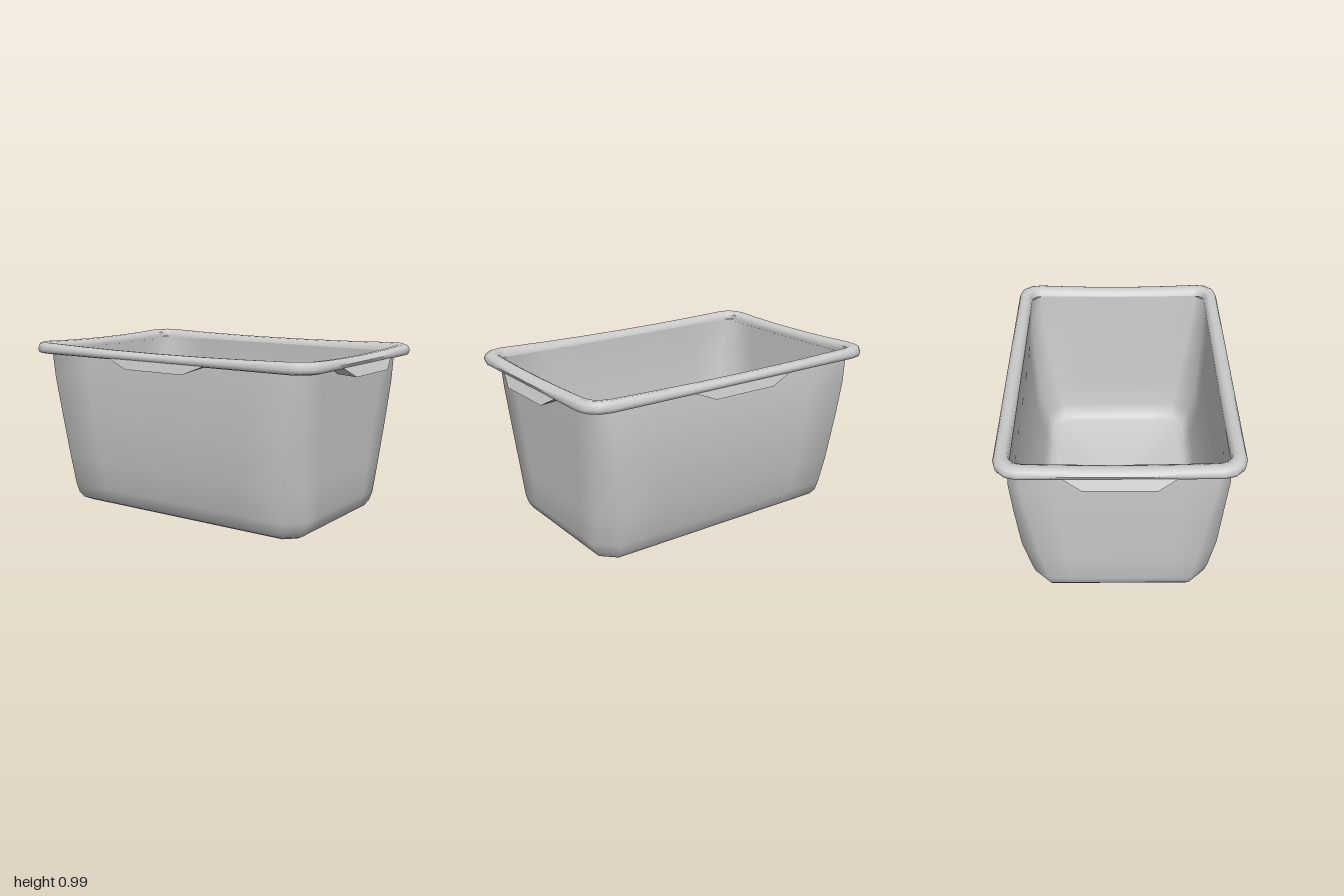
import * as THREE from 'three';
import { toCreasedNormals } from 'three/addons/utils/BufferGeometryUtils.js';

const material = new THREE.MeshStandardMaterial({ color: 0xcccccc, side: THREE.DoubleSide });

// Rounded rectangle ring: half width, half depth, height, corner size, x and z offset
function ring([hx, hz, y, r, ox = 0, oz = 0], steps) {
  const corners = [], spans = 6;
  for (let q = 0; q < 4; q++) {
    const sx = q === 0 || q === 3 ? 1 : -1, sz = q < 2 ? -1 : 1;
    for (let k = 0; k <= steps; k++) {
      const a = (q + k / steps) * Math.PI / 2;
      corners.push([sx * (hx - r) + r * Math.cos(a), sz * (hz - r) - r * Math.sin(a)]);
    }
  }
  // Straight sides are subdivided so the rim top can sag between its corners
  const points = [];
  corners.forEach(([x, z], i) => {
    const [nx, nz] = corners[(i + 1) % corners.length];
    const count = i % (steps + 1) === steps ? spans : 1;
    for (let k = 0; k < count; k++) {
      const px = x + (nx - x) * k / count, pz = z + (nz - z) * k / count;
      const sag = y > 0.96 ? 0.02 * ((px / 0.97) ** 2 * (pz / 0.64) ** 2 - 0.4) : 0;
      points.push([px + ox, y + sag, pz + oz]);
    }
  });
  return points;
}

// Skin between successive rings, with a number of facets per corner
function loft(name, steps, sections) {
  const rings = sections.map((section) => ring(section, steps)), n = rings[0].length, index = [];
  for (let i = 0; i < rings.length - 1; i++) {
    for (let j = 0; j < n; j++) {
      const a = i * n + j, b = i * n + (j + 1) % n;
      index.push(a, b, b + n, a, b + n, a + n);
    }
  }
  const geometry = new THREE.BufferGeometry();
  geometry.setAttribute('position', new THREE.Float32BufferAttribute(rings.flat(2), 3));
  geometry.setIndex(index);
  const mesh = new THREE.Mesh(toCreasedNormals(geometry, 1), material);
  mesh.name = name;
  return mesh;
}

// Tapered grip hanging from the rim: a front flap with sloping ends returning to the wall
function grip(name, angle, rim, flare, wall, halfTop, halfBottom) {
  const corners = [[-halfTop, 0.938], [-halfBottom, 0.882], [halfBottom, 0.882], [halfTop, 0.938]];
  const outer = corners.map(([x, y], i) => [x, y, i % 3 ? flare : rim]);
  const inner = corners.map(([x, y], i) => [x, i % 3 ? 0.89 : y, wall]);
  const geometry = new THREE.BufferGeometry();
  geometry.setAttribute('position', new THREE.Float32BufferAttribute([...outer, ...inner].flat(), 3));
  geometry.setIndex([0, 1, 2, 0, 2, 3, 0, 4, 5, 0, 5, 1, 2, 6, 7, 2, 7, 3]);
  const mesh = new THREE.Mesh(toCreasedNormals(geometry, 0.5), material);
  mesh.name = name;
  mesh.rotation.y = angle;
  return mesh;
}

export function createModel() {
  const model = new THREE.Group();
  model.name = 'storageTub';

  // Outer walls and underside, with chamfered corners widening downwards
  model.add(loft('outerShell', 1, [
    [0.001, 0.001, 0, 0.0005],
    [0.755, 0.415, 0, 0.06],
    [0.8, 0.456, 0.02, 0.08, -0.008],
    [0.828, 0.484, 0.055, 0.095, -0.01],
    [0.846, 0.5, 0.11, 0.105, -0.01],
    [0.857, 0.545, 0.29, 0.115, -0.01, -0.004],
    [0.878, 0.565, 0.58, 0.09, -0.01, -0.006],
    [0.888, 0.578, 0.78, 0.07, -0.008, -0.005],
    [0.892, 0.572, 0.935, 0.05, -0.006],
  ]));

  // Rolled rim
  model.add(loft('rim', 3, [
    [0.888, 0.57, 0.932, 0.06],
    [0.95, 0.622, 0.928, 0.11],
    [0.97, 0.638, 0.934, 0.125],
    [0.978, 0.645, 0.955, 0.13],
    [0.968, 0.636, 0.975, 0.125],
    [0.945, 0.615, 0.987, 0.11],
    [0.915, 0.588, 0.985, 0.09],
    [0.892, 0.568, 0.972, 0.065],
    [0.884, 0.562, 0.945, 0.05, -0.006],
  ]));

  // Thin inner walls and floor
  model.add(loft('innerShell', 1, [
    [0.884, 0.562, 0.945, 0.05, -0.006],
    [0.878, 0.567, 0.78, 0.066, -0.008, -0.005],
    [0.868, 0.555, 0.58, 0.086, -0.01, -0.006],
    [0.847, 0.535, 0.29, 0.11, -0.01, -0.004],
    [0.836, 0.49, 0.11, 0.1, -0.01],
    [0.819, 0.474, 0.06, 0.092, -0.01],
    [0.794, 0.45, 0.028, 0.078, -0.008],
    [0.752, 0.412, 0.01, 0.06],
    [0.001, 0.001, 0.01, 0.0005],
  ]));

  // Grips on all four sides
  for (const [name, angle] of [['frontGrip', 0], ['backGrip', Math.PI]]) {
    model.add(grip(name, angle, 0.638, 0.652, 0.572, 0.34, 0.2));
  }
  for (const [name, angle] of [['leftGrip', Math.PI / 2], ['rightGrip', -Math.PI / 2]]) {
    model.add(grip(name, angle, 0.972, 1, 0.89, 0.29, 0.19));
  }
  return model;
}
